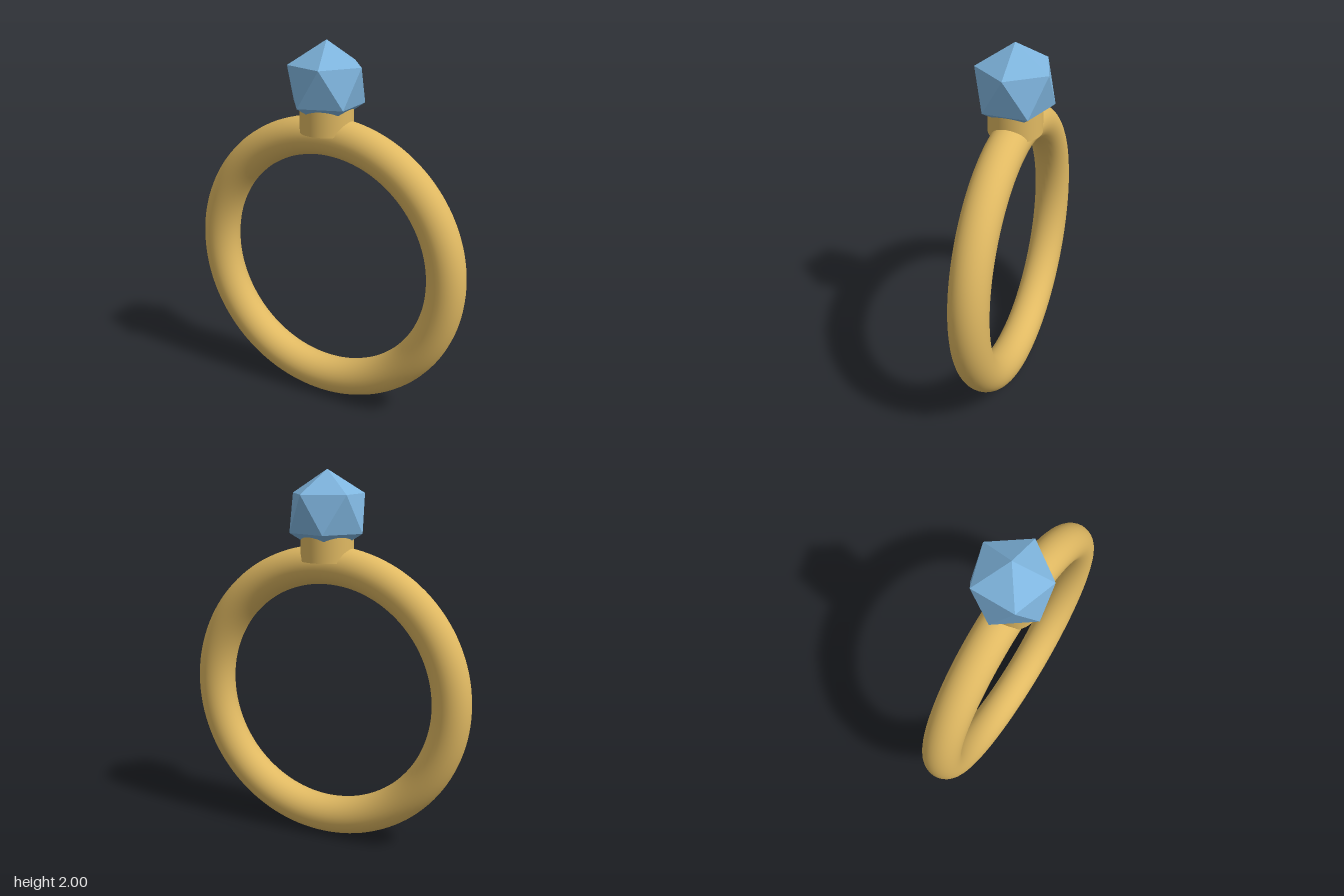
import * as THREE from 'three';

export function createModel() {
  const model = new THREE.Group();
  model.name = 'gemRing';

  const gold = new THREE.MeshStandardMaterial({ color: 0xe0b962 });
  gold.name = 'gold';
  const blue = new THREE.MeshStandardMaterial({ color: 0x7fb5de, flatShading: true });
  blue.name = 'gemBlue';

  const add = (name, geometry, material, y) => {
    const mesh = new THREE.Mesh(geometry, material);
    mesh.name = name;
    mesh.position.y = y;
    model.add(mesh);
    return mesh;
  };

  // Round band standing upright, facing the front
  add('band', new THREE.TorusGeometry(0.703, 0.1025, 32, 128), gold, 0.8055);

  // Short collar holding the gem
  add('setting', new THREE.CylinderGeometry(0.14, 0.14, 0.14, 64), gold, 1.6);

  // Twenty-sided gem, turned to stand on a corner with an upper corner towards +x
  const gemGeometry = new THREE.IcosahedronGeometry(0.223, 0);
  gemGeometry.rotateZ(-Math.atan(2 / (1 + Math.sqrt(5))));
  add('gem', gemGeometry, blue, 1.777);

  return model;
}
